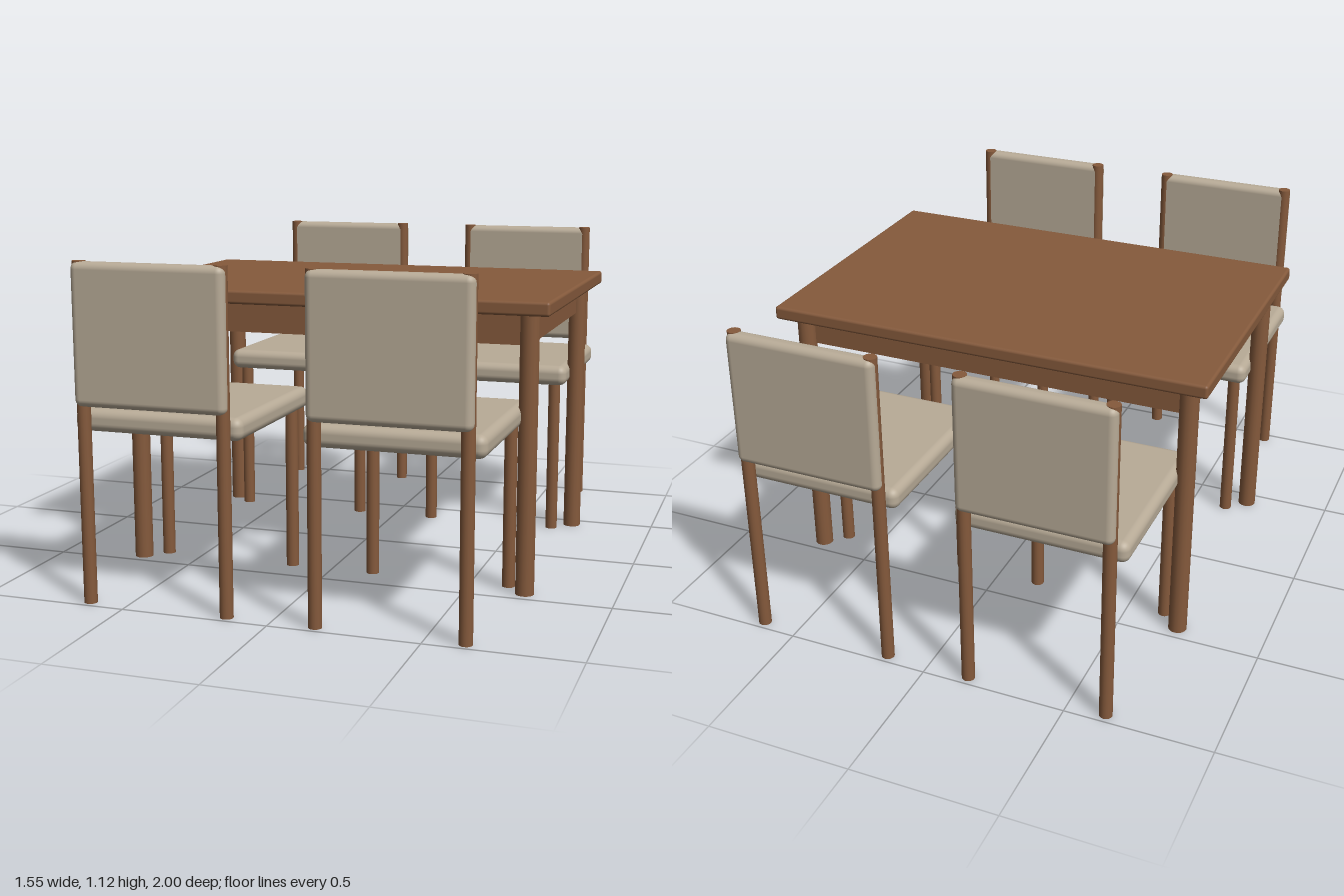
import * as THREE from 'three';
import { RoundedBoxGeometry } from 'three/addons/geometries/RoundedBoxGeometry.js';

const wood = new THREE.MeshStandardMaterial({ color: 0x855a3c });
const fabric = new THREE.MeshStandardMaterial({ color: 0xb8ab97 });

function add(parent, name, geometry, material, x, y, z) {
  const mesh = new THREE.Mesh(geometry, material);
  mesh.name = name;
  mesh.position.set(x, y, z);
  parent.add(mesh);
}

// Round post standing on the floor
function addPost(parent, name, radius, height, x, z) {
  add(parent, name, new THREE.CylinderGeometry(radius, radius, height, 16), wood, x, height / 2, z);
}

function createTable() {
  const table = new THREE.Group();
  table.name = 'table';
  add(table, 'tableTop', new RoundedBoxGeometry(1.555, 0.047, 1.034, 3, 0.01), wood, 0, 0.963, 0);
  // Solid apron block under the top
  add(table, 'apron', new THREE.BoxGeometry(1.4, 0.11, 0.88), wood, 0, 0.89, 0);
  for (const x of [-0.7, 0.7]) {
    for (const z of [-0.443, 0.443]) addPost(table, 'tableLeg', 0.032, 0.945, x, z);
  }
  return table;
}

// Chair with its back towards +z
function createChair() {
  const chair = new THREE.Group();
  chair.name = 'chair';
  add(chair, 'seat', new RoundedBoxGeometry(0.582, 0.075, 0.618, 4, 0.029), fabric, 0, 0.602, 0.637);
  add(chair, 'backrest', new RoundedBoxGeometry(0.522, 0.462, 0.056, 4, 0.024), fabric, 0, 0.886, 0.972);
  for (const x of [-0.241, 0.241]) {
    addPost(chair, 'backPost', 0.022, 1.118, x, 0.965);
    addPost(chair, 'frontLeg', 0.022, 0.58, x, 0.379);
  }
  return chair;
}

export function createModel() {
  const model = new THREE.Group();
  model.name = 'diningSet';
  model.add(createTable());

  // Two chairs on each long side, facing the table
  for (const x of [-0.39, 0.39]) {
    for (const turn of [0, Math.PI]) {
      const chair = createChair();
      chair.position.x = x;
      chair.rotation.y = turn;
      model.add(chair);
    }
  }
  return model;
}
